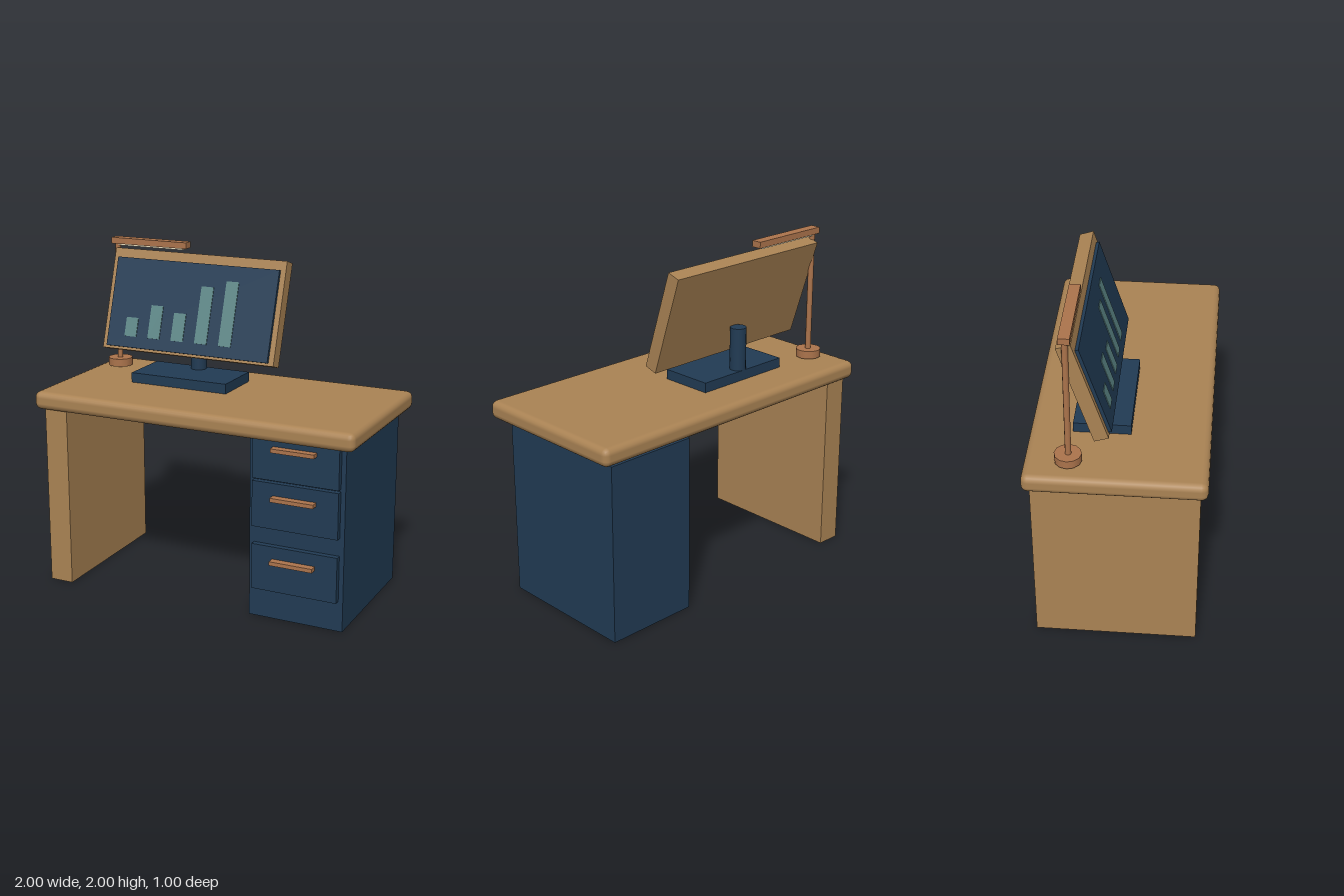
import * as THREE from 'three';
import { RoundedBoxGeometry } from 'three/addons/geometries/RoundedBoxGeometry.js';

const mat = (color) => new THREE.MeshStandardMaterial({ color });

export function createModel() {
  const wood = mat(0xaa8354), navy = mat(0x213b54), copper = mat(0xac744c);
  const chart = mat(0x5c8686), glow = mat(0xece0c0);
  const model = new THREE.Group();
  model.name = 'desk';

  const add = (parent, name, geometry, material, x, y, z) => {
    const mesh = new THREE.Mesh(geometry, material);
    mesh.name = name;
    mesh.position.set(x, y, z);
    parent.add(mesh);
    return mesh;
  };
  // Box given by its extents
  const box = (parent, name, material, [x0, x1], [y0, y1], [z0, z1]) =>
    add(parent, name, new THREE.BoxGeometry(x1 - x0, y1 - y0, z1 - z0), material,
      (x0 + x1) / 2, (y0 + y1) / 2, (z0 + z1) / 2);
  // Upright cylinder from y0 to y1
  const post = (parent, name, material, r, sides, x, z, y0, y1) =>
    add(parent, name, new THREE.CylinderGeometry(r, r, y1 - y0, sides), material, x, (y0 + y1) / 2, z);

  // Worktop and side panel
  add(model, 'worktop', new RoundedBoxGeometry(2, 0.108, 1, 2, 0.038), wood, 0, 1.132, 0);
  box(model, 'sidePanel', wood, [-0.945, -0.8], [0, 1.085], [-0.46, 0.46]);

  // Drawer cabinet
  const cabinet = new THREE.Group();
  cabinet.name = 'cabinet';
  model.add(cabinet);
  box(cabinet, 'cabinetBody', navy, [0.355, 0.925], [0, 1.06], [-0.457, 0.4]);
  for (const y of [0.315, 0.69, 0.975]) {
    box(cabinet, 'drawerFront', navy, [0.383, 0.898], [y - 0.135, Math.min(y + 0.135, 1.1)], [0.395, 0.435]);
    box(cabinet, 'drawerHandle', copper, [0.51, 0.768], [y + 0.04, y + 0.063], [0.434, 0.48]);
  }

  // Monitor stand
  const midX = -0.272;
  box(model, 'monitorBase', navy, [-0.586, 0.04], [1.183, 1.245], [-0.26, 0.06]);
  post(model, 'monitorPost', navy, 0.048, 16, midX, -0.213, 1.24, 1.5);

  // Tilted monitor with a bar chart on its screen
  const monitor = new THREE.Group();
  monitor.name = 'monitor';
  monitor.position.set(midX, 1.635, -0.172);
  monitor.rotation.x = -0.312;
  model.add(monitor);
  box(monitor, 'monitorFrame', wood, [-0.568, 0.568], [-0.307, 0.307], [-0.041, 0.041]);
  box(monitor, 'screen', navy, [-0.535, 0.535], [-0.292, 0.25], [0.036, 0.06]);
  [0.115, 0.2, 0.168, 0.34, 0.383].forEach((h, i) => {
    const x = (i - 2) * 0.1575 - 0.063;
    box(monitor, 'chartBar', chart, [x - 0.04, x + 0.04], [-0.225, h - 0.225], [0.058, 0.064]);
  });

  // Lamp
  const lamp = new THREE.Group();
  lamp.name = 'lamp';
  model.add(lamp);
  post(lamp, 'lampBase', copper, 0.075, 12, -0.845, -0.258, 1.198, 1.246);
  post(lamp, 'lampPost', copper, 0.017, 10, -0.845, -0.256, 1.24, 1.968);
  box(lamp, 'lampArm', copper, [-0.872, -0.362], [1.963, 2], [-0.288, -0.226]);
  box(lamp, 'lightStrip', glow, [-0.83, -0.39], [1.953, 1.965], [-0.276, -0.238]);
  return model;
}
